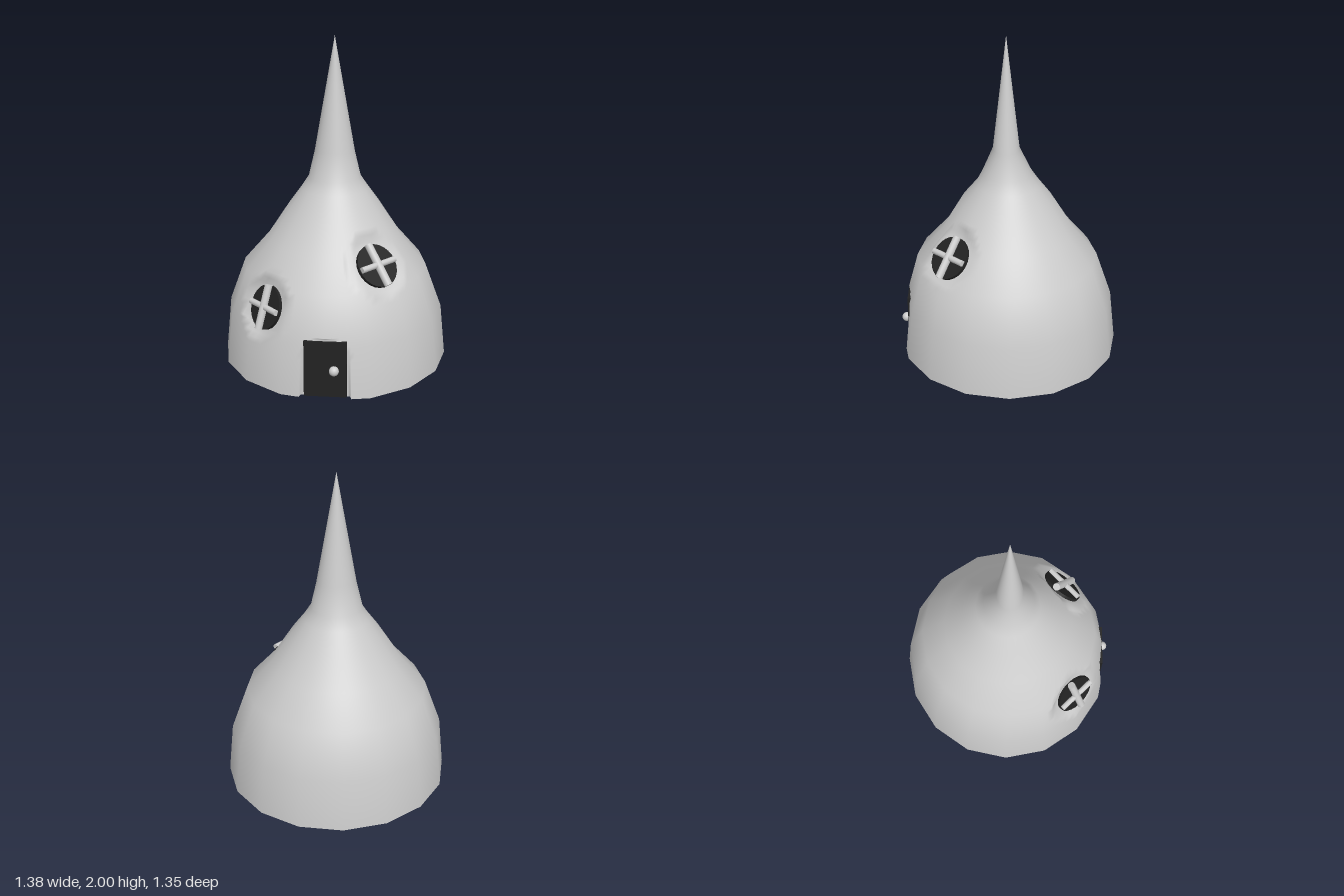
import * as THREE from 'three';

const grey = new THREE.MeshStandardMaterial({ color: 0xcccccc });
const dark = new THREE.MeshStandardMaterial({ color: 0x222222 });
const { clamp, lerp, smoothstep, degToRad } = THREE.MathUtils;

// Shell rings from the ground up: height, half width, half depth, z centre
const rings = [
  [0, 0.69, 0.677, 0], [0.32, 0.658, 0.642, 0], [0.6, 0.557, 0.555, 0.01],
  [0.78, 0.402, 0.4, 0.005], [0.97, 0.28, 0.285, 0.008], [1.08, 0.202, 0.197, 0.005],
  [1.15, 0.157, 0.155, 0.01], [1.31, 0.12, 0.08, 0.015], [2, 0, 0, 0.015],
];

// Round windows: centre and outward direction
const windows = [
  { name: 'upperWindow', at: new THREE.Vector3(0.275, 0.715, 0.35), dir: new THREE.Vector3(0.53, 0.63, 0.57).normalize() },
  { name: 'lowerWindow', at: new THREE.Vector3(-0.365, 0.465, 0.435), dir: new THREE.Vector3(-0.68, 0.35, 0.64).normalize() },
];
const paneRadius = 0.132;
const door = { halfWidth: 0.148, height: 0.367, z: 0.618 };

// Outward slope (radial, up) at each ring, averaged from the segments beside it
function ringSlope(i) {
  const s = new THREE.Vector2();
  for (const j of [i - 1, i]) {
    if (!rings[j] || !rings[j + 1]) continue;
    const a = rings[j], b = rings[j + 1];
    s.add(new THREE.Vector2(b[0] - a[0], a[1] - b[1]).normalize());
  }
  return s.normalize();
}

// Press a shell point flat behind the windows and the door; returns true if moved
function press(p) {
  let moved = false;
  for (const { at, dir } of windows) {
    const off = p.clone().sub(at);
    const h = off.dot(dir);
    const d = Math.sqrt(Math.max(0, off.lengthSq() - h * h));
    if (h < -0.2 || d > paneRadius * 1.6) continue;
    const w = 1 - smoothstep(d, paneRadius + 0.012, paneRadius * 1.6);
    p.addScaledVector(dir, (-0.012 - h) * w);
    moved = true;
  }
  if (p.z > door.z && Math.abs(p.x) < door.halfWidth && p.y < door.height) {
    p.z = door.z;
    moved = true;
  }
  return moved;
}

function shellGeometry() {
  // Sixteen flat sides, subdivided, with extra columns at the door jambs
  const angles = [];
  for (let i = 0; i < 96; i++) angles.push(i * 3.75);
  for (const a of [12.3, 13.1]) angles.push(a, 360 - a);
  angles.sort((a, b) => a - b);

  // Rows: subdivided rings, with extra rows at the door head
  const rows = [0.364, 0.37];
  for (let i = 0; i < rings.length - 1; i++) {
    const span = rings[i + 1][0] - rings[i][0];
    const n = rings[i][0] < 0.97 ? Math.ceil(span / 0.035) : 4;
    for (let k = 0; k < n; k++) rows.push(rings[i][0] + span * k / n);
  }
  rows.push(2);
  rows.sort((a, b) => a - b);

  const pos = [], index = [], smooth = [];
  const cols = angles.length;
  for (const y of rows) {
    let i = 0;
    while (i < rings.length - 2 && y >= rings[i + 1][0]) i++;
    const t = clamp((y - rings[i][0]) / (rings[i + 1][0] - rings[i][0]), 0, 1);
    const [, rx, rz, cz] = rings[i].map((v, k) => lerp(v, rings[i + 1][k], t));
    const slope = ringSlope(i).lerp(ringSlope(i + 1), t).normalize();
    for (const deg of angles) {
      const a = degToRad(deg);
      const k = Math.cos(Math.PI / 16) / Math.cos(degToRad(deg % 22.5) - Math.PI / 16);
      const p = new THREE.Vector3(rx * k * Math.sin(a), y, cz + rz * k * Math.cos(a));
      const moved = press(p);
      pos.push(p.x, p.y, p.z);
      smooth.push(moved ? null : [slope.x * Math.sin(a), slope.y, slope.x * Math.cos(a)]);
    }
  }
  for (let r = 0; r < rows.length - 1; r++) {
    for (let c = 0; c < cols; c++) {
      const a = r * cols + c, b = r * cols + (c + 1) % cols;
      index.push(a, b, b + cols, a, b + cols, a + cols);
    }
  }
  const g = new THREE.BufferGeometry();
  g.setAttribute('position', new THREE.Float32BufferAttribute(pos, 3));
  g.setIndex(index);
  g.computeVertexNormals();
  // Rounded shading wherever the wall is undisturbed
  smooth.forEach((n, i) => n && g.attributes.normal.setXYZ(i, ...n));

  // Floor fan under the bottom row
  const floorPos = [...pos.slice(0, cols * 3), 0, 0, 0], floorIndex = [];
  for (let c = 0; c < cols; c++) floorIndex.push(cols, (c + 1) % cols, c);
  const floor = new THREE.BufferGeometry();
  floor.setAttribute('position', new THREE.Float32BufferAttribute(floorPos, 3));
  floor.setIndex(floorIndex);
  floor.computeVertexNormals();
  return { shell: g, floor };
}

function mesh(name, geometry, material, parent) {
  const m = new THREE.Mesh(geometry, material);
  m.name = name;
  parent.add(m);
  return m;
}

export function createModel() {
  const house = new THREE.Group();
  house.name = 'house';

  const { shell, floor } = shellGeometry();
  mesh('shell', shell, grey, house);
  mesh('floor', floor, grey, house);

  // Windows: dark pane with two crossed round bars
  for (const { name, at, dir } of windows) {
    const w = new THREE.Group();
    w.name = name;
    w.position.copy(at);
    w.lookAt(at.clone().add(dir));
    mesh('pane', new THREE.CylinderGeometry(paneRadius, paneRadius, 0.02, 24), dark, w).rotation.x = Math.PI / 2;
    const upright = mesh('uprightBar', new THREE.CylinderGeometry(0.024, 0.024, 0.265, 12), grey, w);
    const crossbar = mesh('crossbar', new THREE.CylinderGeometry(0.018, 0.018, 0.25, 12), grey, w);
    upright.position.z = crossbar.position.z = 0.02;
    upright.rotation.z = 0.07;
    crossbar.rotation.z = Math.PI / 2 + 0.04;
    house.add(w);
  }

  // Door and knob
  mesh('door', new THREE.BoxGeometry(0.25, 0.35, 0.03), dark, house).position.set(0, 0.175, 0.615);
  mesh('doorKnob', new THREE.SphereGeometry(0.029, 20, 14), grey, house).position.set(0.052, 0.175, 0.645);

  return house;
}
